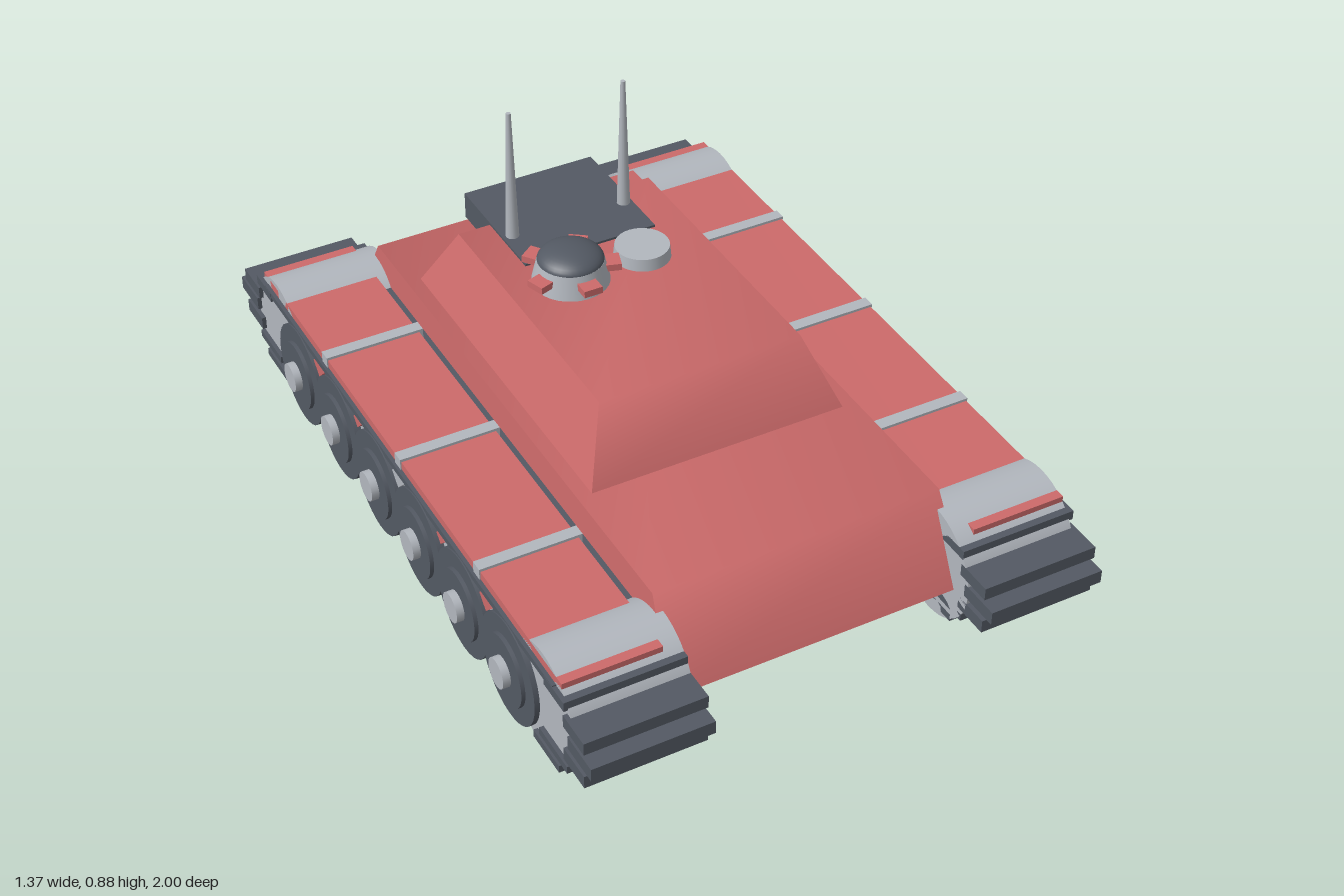
import * as THREE from 'three';
import { toCreasedNormals } from 'three/addons/utils/BufferGeometryUtils.js';

const paint = (name, color) => {
  const m = new THREE.MeshStandardMaterial({ color });
  m.name = name;
  return m;
};

export function createModel() {
  const red = paint('hull red', 0xcc6a6a);
  const grey = paint('light steel', 0xb2b7be);
  const dark = paint('dark steel', 0x535963);
  const model = new THREE.Group();
  model.name = 'tank';

  const add = (parent, name, geometry, material, x = 0, y = 0, z = 0) => {
    const mesh = new THREE.Mesh(geometry, material);
    mesh.name = name;
    mesh.position.set(x, y, z);
    parent.add(mesh);
    return mesh;
  };
  // Box given by its limits on each axis
  const slab = (parent, name, material, [x0, x1], [y0, y1], [z0, z1]) =>
    add(parent, name, new THREE.BoxGeometry(x1 - x0, y1 - y0, z1 - z0), material,
      (x0 + x1) / 2, (y0 + y1) / 2, (z0 + z1) / 2);
  // Cylinder lying along x
  const axle = (parent, name, material, r, [x0, x1], y, z, sides = 32) =>
    add(parent, name, new THREE.CylinderGeometry(r, r, x1 - x0, sides).rotateZ(Math.PI / 2),
      material, (x0 + x1) / 2, y, z);
  // Tapered box; each end is [y, half width, back z, front z]
  const taper = (lower, upper) => {
    const g = new THREE.BoxGeometry(1, 1, 1);
    const p = g.attributes.position;
    for (let i = 0; i < p.count; i++) {
      const [y, w, back, front] = p.getY(i) > 0 ? upper : lower;
      p.setXYZ(i, Math.sign(p.getX(i)) * w, y, p.getZ(i) > 0 ? front : back);
    }
    return toCreasedNormals(g, THREE.MathUtils.degToRad(65));
  };

  // Hull and superstructure
  add(model, 'hull', taper([0.14, 0.385, -0.85, 0.85], [0.355, 0.37, -0.74, 0.74]), red);
  add(model, 'superstructure', taper([0.35, 0.335, -0.56, 0.385], [0.53, 0.265, -0.46, 0.29]), red);
  slab(model, 'engineBox', dark, [-0.18, 0.176], [0.465, 0.536], [-0.607, -0.26]);

  // Roof hatch, cupola and antennas
  add(model, 'hatch', new THREE.CylinderGeometry(0.068, 0.072, 0.04, 32), grey, 0.092, 0.542, -0.17);
  const cupola = new THREE.Group();
  cupola.name = 'cupola';
  cupola.position.set(-0.105, 0.53, -0.165);
  model.add(cupola);
  add(cupola, 'cupolaRing', new THREE.CylinderGeometry(0.082, 0.096, 0.06, 32), grey, 0, 0.03, 0);
  const dome = new THREE.SphereGeometry(0.082, 32, 10, 0, Math.PI * 2, 0, Math.PI / 2).scale(1, 0.43, 1);
  add(cupola, 'cupolaDome', dome, dark, 0, 0.058, 0);
  for (let i = 0; i < 5; i++) {
    const a = (i * Math.PI * 2) / 5;
    const block = add(cupola, 'visionBlock', new THREE.BoxGeometry(0.048, 0.018, 0.045), red,
      Math.sin(a) * 0.098, 0.035, Math.cos(a) * 0.098);
    block.rotation.y = a;
  }
  for (const s of [-1, 1]) {
    add(model, 'antenna', new THREE.CylinderGeometry(0.006, 0.017, 0.36, 16), grey, s * 0.154, 0.71, -0.385);
  }

  // Running gear on each side
  for (const s of [-1, 1]) {
    const side = new THREE.Group();
    side.name = s > 0 ? 'leftTrack' : 'rightTrack';
    model.add(side);
    const span = (a, b) => (s > 0 ? [a, b] : [-b, -a]);

    slab(side, 'trackBody', dark, span(0.375, 0.63), [0.04, 0.22], [-0.74, 0.74]);
    slab(side, 'innerGuard', grey, span(0.375, 0.64), [0.21, 0.264], [-0.78, 0.78]);
    slab(side, 'upperTrackRun', dark, span(0.365, 0.655), [0.262, 0.278], [-0.82, 0.82]);
    slab(side, 'fender', red, span(0.4, 0.645), [0.278, 0.3], [-0.845, 0.845]);
    for (const z of [-0.44, 0, 0.43]) {
      slab(side, 'fenderSeam', grey, span(0.39, 0.648), [0.27, 0.307], [z - 0.016, z + 0.016]);
    }

    // Small pointed brackets in the gaps between wheels
    for (const z of [-0.48, -0.24, 0, 0.24, 0.48]) {
      const size = Math.abs(z) === 0.24 ? 0.03 : 0.045;
      const bracket = add(side, 'fenderBracket', new THREE.BoxGeometry(0.03, size, size),
        z === 0 ? grey : red, s * 0.636, 0.245, z);
      bracket.rotation.x = Math.PI / 4;
    }

    // Six road wheels with disc and hub
    for (let i = 0; i < 6; i++) {
      const z = -0.6 + i * 0.24;
      axle(side, 'roadWheel', dark, 0.135, span(0.4, 0.658), 0.14, z);
      axle(side, 'wheelDisc', dark, 0.09, span(0.6, 0.668), 0.14, z);
      axle(side, 'wheelHub', grey, 0.038, span(0.6, 0.687), 0.14, z, 20);
    }

    // End drums with stepped track cleats: [y low, y high, z inner, z outer]
    for (const e of [-1, 1]) {
      axle(side, 'endDrum', grey, 0.15, span(0.355, 0.645), 0.165, e * 0.755, 40);
      const cleats = [
        [0.25, 0.275, 0.78, 0.875], [0.203, 0.236, 0.87, 0.967], [0.155, 0.19, 0.89, 1.0],
        [0.104, 0.138, 0.87, 0.967], [0.072, 0.092, 0.75, 0.885], [0.038, 0.058, 0.72, 0.845],
      ];
      for (const [y0, y1, a, b] of cleats) {
        slab(side, 'trackCleat', dark, span(0.355, 0.656), [y0, y1], e > 0 ? [a, b] : [-b, -a]);
      }
    }
  }
  return model;
}
